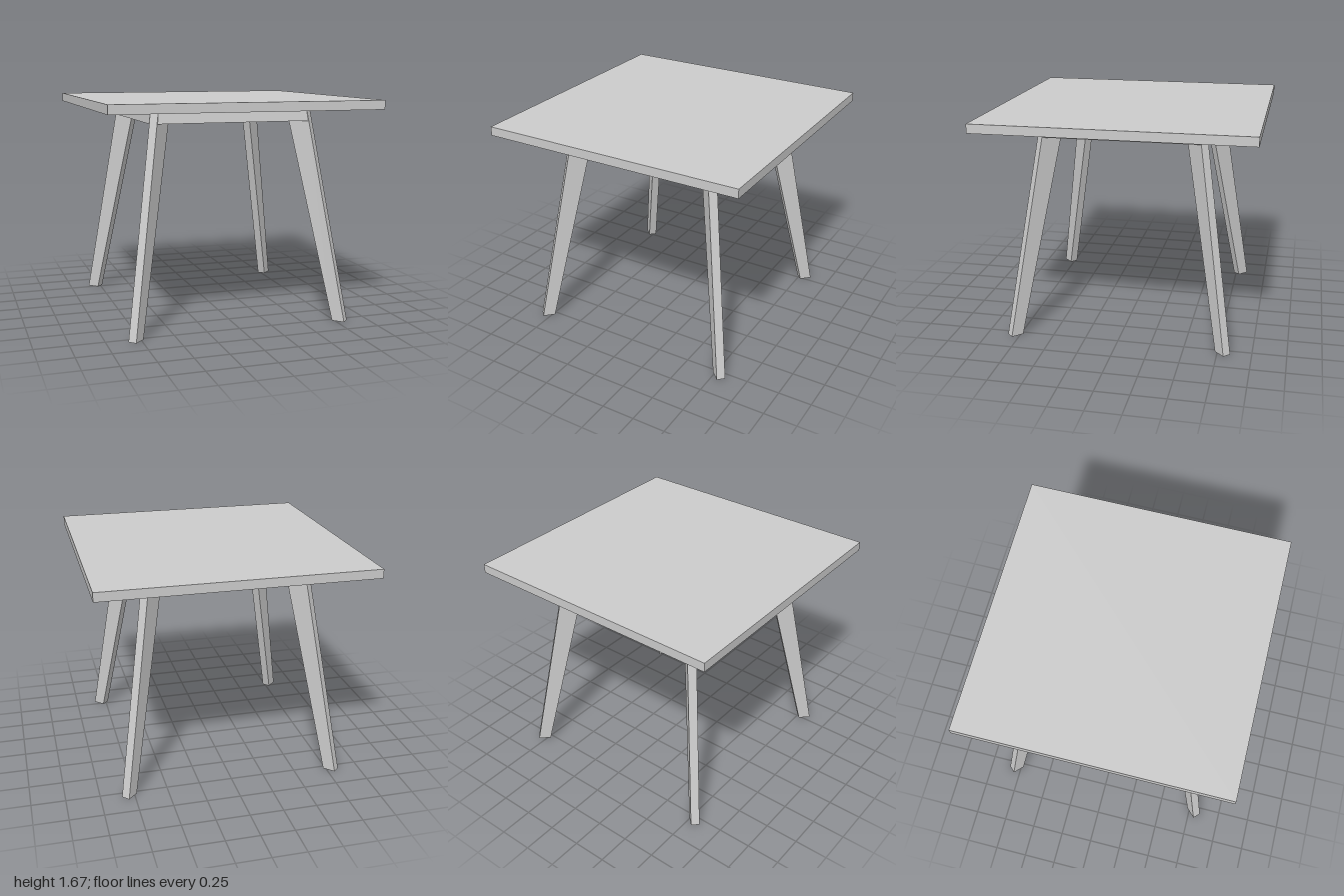
import * as THREE from 'three';

const material = new THREE.MeshStandardMaterial({ color: 0xcccccc, flatShading: true });

// Four-sided bar between two levels; each level is { y, half, inner, outer }:
// half width along x, and the z range from inner to outer face.
function taperedBar(name, bottom, top) {
  const geometry = new THREE.BoxGeometry(2, 2, 2);
  const p = geometry.attributes.position;
  for (let i = 0; i < p.count; i++) {
    const level = p.getY(i) > 0 ? top : bottom;
    p.setXYZ(i, p.getX(i) * level.half, level.y, p.getZ(i) > 0 ? level.outer : level.inner);
  }
  geometry.computeVertexNormals();
  const mesh = new THREE.Mesh(geometry, material);
  mesh.name = name;
  return mesh;
}

export function createModel() {
  const table = new THREE.Group();
  table.name = 'table';

  // Square top
  const top = new THREE.Mesh(new THREE.BoxGeometry(2, 0.067, 2), material);
  top.name = 'tableTop';
  top.position.y = 1.6335;
  table.add(top);

  const sides = ['front', 'left', 'back', 'right'];
  const corners = ['frontLeft', 'backLeft', 'backRight', 'frontRight'];
  for (let i = 0; i < 4; i++) {
    // Apron rail, its outer face leaning with the legs
    const apron = taperedBar(sides[i] + 'Apron',
      { y: 1.504, half: 0.575, inner: 0.51, outer: 0.624 },
      { y: 1.6, half: 0.564, inner: 0.51, outer: 0.61 });
    apron.rotation.y = i * Math.PI / 2;

    // Leg splayed along the diagonal, deeper at the top than at the foot
    const leg = taperedBar(corners[i] + 'Leg',
      { y: 0, half: 0.032, inner: 1.068, outer: 1.163 },
      { y: 1.6, half: 0.032, inner: 0.667, outer: 0.831 });
    leg.rotation.y = (i + 0.5) * Math.PI / 2;
    table.add(apron, leg);
  }
  return table;
}
